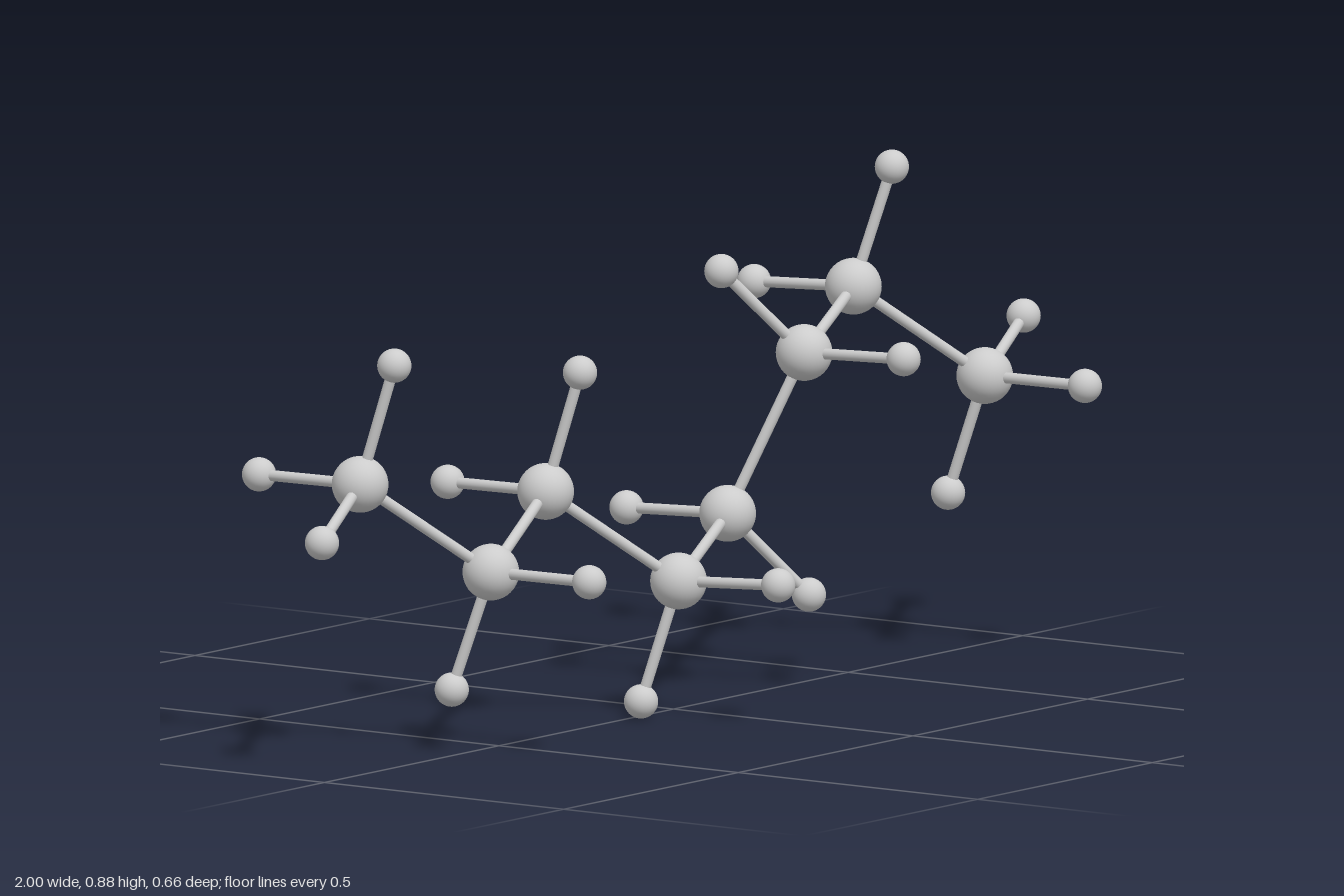
import * as THREE from 'three';

const V = (p) => new THREE.Vector3(...p);

// Each chain joint: its large ball and the small balls attached to it
const joints = [
  { at: [-0.781, 0.476, -0.085], tips: [[-0.971, 0.405, -0.026], [-0.764, 0.682, -0.026], [-0.777, 0.473, -0.299]] },
  { at: [-0.567, 0.31, 0.032], tips: [[-0.594, 0.107, -0.03], [-0.58, 0.314, 0.247]] },
  { at: [-0.295, 0.406, -0.052], tips: [[-0.272, 0.611, 0.003], [-0.281, 0.401, -0.267]] },
  { at: [-0.079, 0.237, 0.068], tips: [[-0.115, 0.031, 0.016], [-0.087, 0.25, 0.282]] },
  { at: [0.196, 0.309, -0.03], tips: [[0.33, 0.16, 0.042], [0.201, 0.299, -0.245]] },
  { at: [0.286, 0.581, 0.064], tips: [[0.152, 0.73, -0.011], [0.279, 0.59, 0.277]] },
  { at: [0.56, 0.651, -0.033], tips: [[0.599, 0.855, 0.019], [0.569, 0.639, -0.247]] },
  { at: [0.776, 0.482, 0.084], tips: [[0.968, 0.555, 0.025], [0.76, 0.278, 0.019], [0.768, 0.485, 0.299]] },
];

export function createModel() {
  const model = new THREE.Group();
  model.name = 'ballAndStickChain';
  const material = new THREE.MeshStandardMaterial({ color: 0xcccccc });
  const largeBall = new THREE.SphereGeometry(0.048, 32, 20);
  const smallBall = new THREE.SphereGeometry(0.029, 32, 20);
  const rod = new THREE.CylinderGeometry(0.0095, 0.0095, 1, 16);

  const add = (geometry, name, position) => {
    const mesh = new THREE.Mesh(geometry, material);
    mesh.name = name;
    mesh.position.copy(position);
    model.add(mesh);
    return mesh;
  };

  // Rod stretched between two ball centres
  const addRod = (name, a, b) => {
    const mesh = add(rod, name, a.clone().lerp(b, 0.5));
    const dir = b.clone().sub(a);
    mesh.scale.y = dir.length();
    mesh.quaternion.setFromUnitVectors(new THREE.Vector3(0, 1, 0), dir.normalize());
  };

  joints.forEach(({ at, tips }, i) => {
    const centre = V(at);
    add(largeBall, `chainBall${i + 1}`, centre);
    // Backbone rod to the next joint
    if (i < joints.length - 1) addRod(`chainRod${i + 1}`, centre, V(joints[i + 1].at));
    // Side rods with small end balls
    tips.forEach((tip, j) => {
      add(smallBall, `tipBall${i + 1}_${j + 1}`, V(tip));
      addRod(`tipRod${i + 1}_${j + 1}`, centre, V(tip));
    });
  });
  return model;
}
